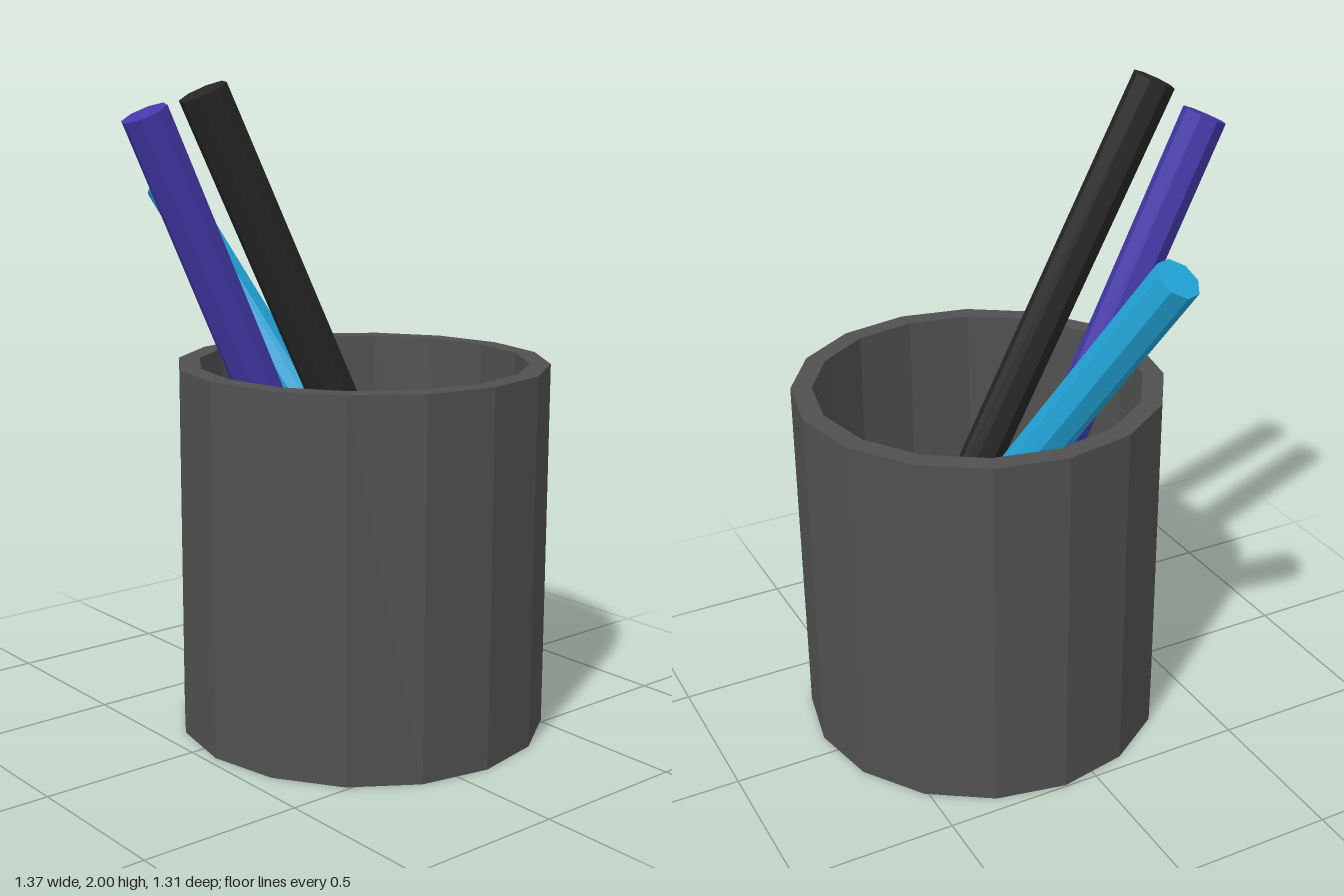
import * as THREE from 'three';

const flat = (color) => new THREE.MeshStandardMaterial({ color, flatShading: true });

// Faceted stick running between the centres of its two end discs
function makePen(name, color, bottom, top) {
  const a = new THREE.Vector3(...bottom);
  const b = new THREE.Vector3(...top);
  const axis = b.clone().sub(a);
  const pen = new THREE.Mesh(new THREE.CylinderGeometry(0.07, 0.07, axis.length(), 8), flat(color));
  pen.name = name;
  pen.position.copy(a).add(b).multiplyScalar(0.5);
  pen.quaternion.setFromUnitVectors(new THREE.Vector3(0, 1, 0), axis.normalize());
  return pen;
}

export function createModel() {
  const group = new THREE.Group();
  group.name = 'penHolder';

  // Hollow sixteen-sided cup: outer base, wall, rim, inner wall, inner floor
  const profile = [[0, 0], [0.575, 0], [0.575, 1.15], [0.51, 1.15], [0.51, 0.06], [0, 0.06]]
    .map(([r, y]) => new THREE.Vector2(r, y));
  const cup = new THREE.Mesh(new THREE.LatheGeometry(profile, 16), flat(0x505050));
  cup.name = 'cup';
  cup.position.set(0.105, 0, 0.08);
  group.add(cup);

  // Pens leaning on the rim
  group.add(
    makePen('blackPen', 0x262626, [0.176, 0.25, 0.4], [-0.583, 1.97, 0.22]),
    makePen('purplePen', 0x4439aa, [0.137, 0.19, 0.085], [-0.622, 1.91, -0.005]),
    makePen('bluePen', 0x22a5d9, [0.33, 0.11, 0.38], [-0.157, 1.675, -0.6]),
  );
  return group;
}
